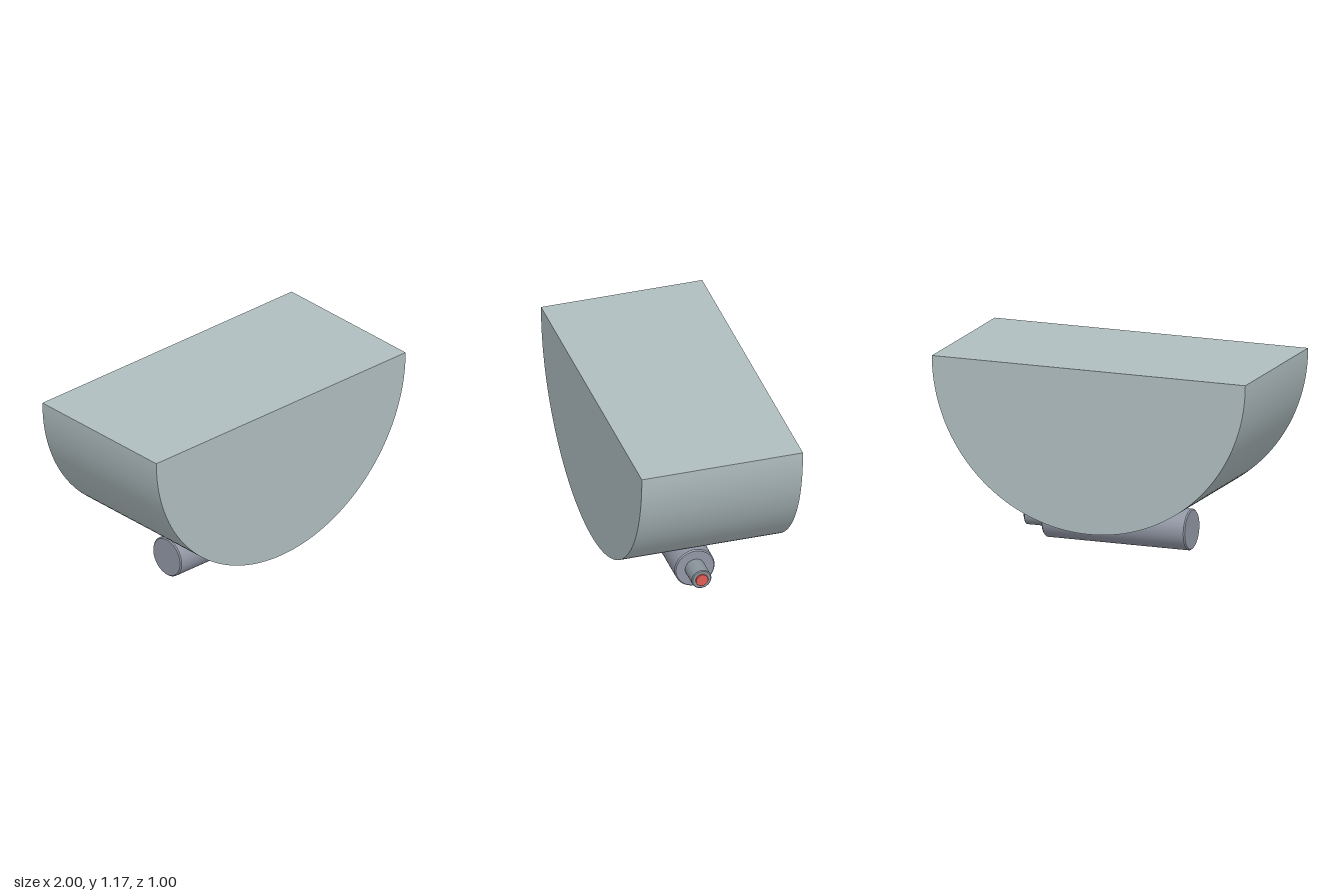
import * as THREE from 'three';
import { toCreasedNormals } from 'three/addons/utils/BufferGeometryUtils.js';

const paint = (name, color) => {
  const m = new THREE.MeshStandardMaterial({ color });
  m.name = name;
  return m;
};

export function createModel() {
  const model = new THREE.Group();
  model.name = 'rocker';
  const sage = paint('sage grey', 0xb0bec0);
  const steel = paint('steel', 0x9297a5);
  const shaftGrey = paint('shaft grey', 0x8a949c);
  const red = paint('red', 0xe05c54);

  const add = (name, geometry, material) => {
    const mesh = new THREE.Mesh(geometry, material);
    mesh.name = name;
    model.add(mesh);
    return mesh;
  };

  // Half-round block, flat side up
  const half = new THREE.Shape();
  half.absarc(0, 0, 1, Math.PI, Math.PI * 2, false);
  half.closePath();
  const block = new THREE.ExtrudeGeometry(half, { depth: 1, bevelEnabled: false, curveSegments: 48 });
  block.translate(0, 1.17, -0.5);
  add('halfRoundBody', toCreasedNormals(block, 0.5), sage);

  // Solid rod along x from x0 to x1 with small bevelled ends
  const rod = (name, x0, x1, r, bevel, material) => {
    const profile = [
      [0, x0], [r - bevel, x0], [r, x0 + bevel],
      [r, x1 - bevel], [r - bevel, x1], [0, x1],
    ].map(([px, py]) => new THREE.Vector2(px, py));
    const geometry = new THREE.LatheGeometry(profile, 48);
    geometry.rotateZ(-Math.PI / 2);
    geometry.translate(0, 0.127, 0);
    return add(name, toCreasedNormals(geometry, 0.5), material);
  };

  // Barrel under the body, its shaft and the coloured tip
  rod('barrel', -0.46, 0.455, 0.124, 0.007, steel);
  rod('shaft', 0.44, 0.59, 0.061, 0.005, shaftGrey);
  rod('shaftTip', 0.585, 0.6, 0.038, 0.001, red);

  return model;
}
